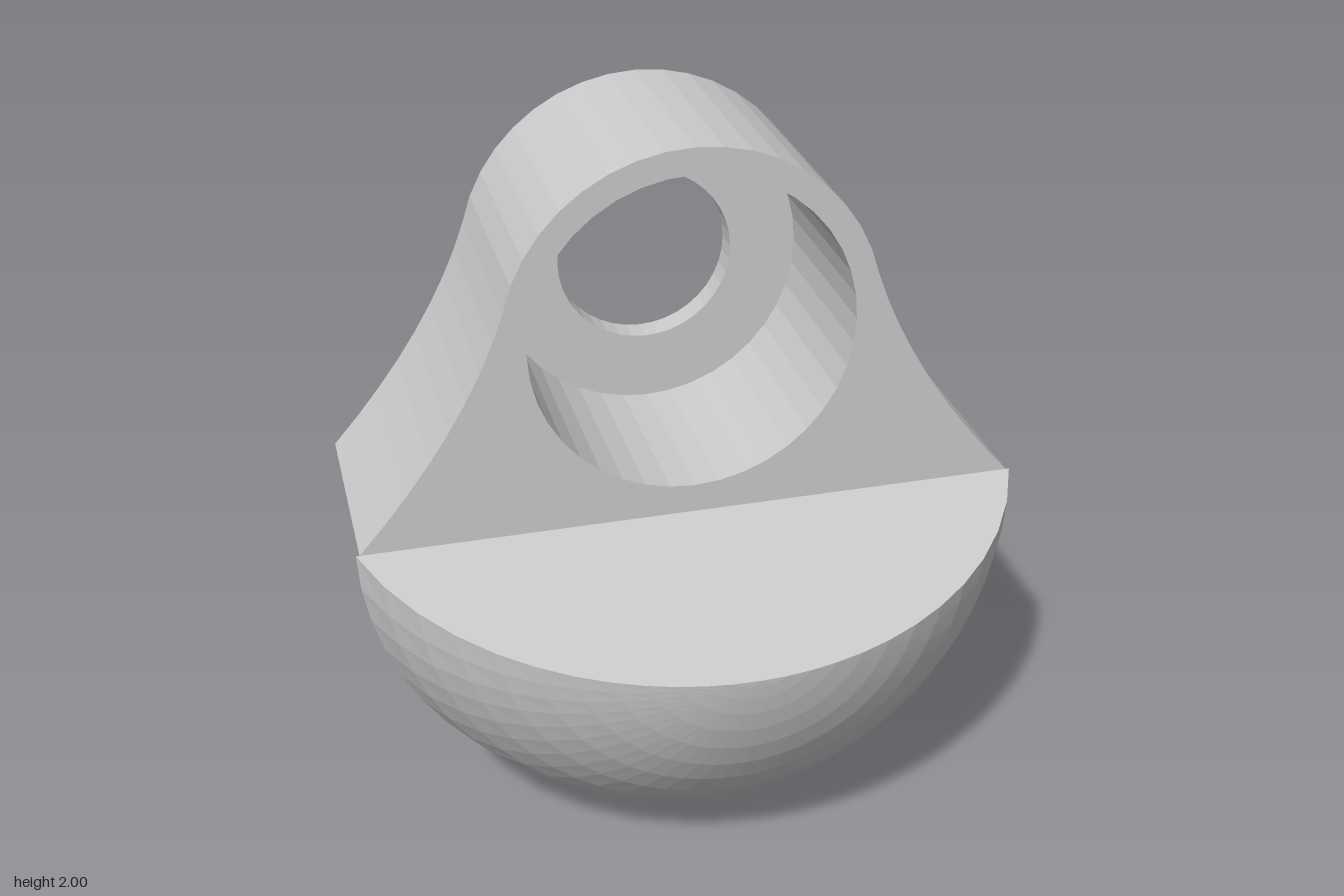
import * as THREE from 'three';

const V2 = (x, y) => new THREE.Vector2(x, y);
const BASE = 0.94;             // height of the bracket's underside
const CENTRE_Y = 1.475;        // axis of the bore
const BACK = -0.65, WALL = 0.08;
const SPHERE_Z = -0.34, SLOPE = 0.2;

const material = new THREE.MeshStandardMaterial({ color: 0xcccccc, flatShading: true });

// Surface through rows of points
function grid(rows, { closed = false, flip = false } = {}) {
  const n = rows[0].length, index = [];
  for (let i = 0; i < rows.length - 1; i++) {
    for (let j = 0; j < (closed ? n : n - 1); j++) {
      const k = (j + 1) % n;
      const a = i * n + j, b = i * n + k, c = b + n, d = a + n;
      if (flip) index.push(a, c, b, a, d, c);
      else index.push(a, b, c, a, c, d);
    }
  }
  const g = new THREE.BufferGeometry().setFromPoints(rows.flat());
  g.setIndex(index);
  g.computeVertexNormals();
  return g;
}

// Wall along z following a counter-clockwise contour
function wall(contour, z0, z1, flip = false) {
  const row = z => contour.map(p => new THREE.Vector3(p.x, p.y, z));
  return grid([row(z0), row(z1)], { closed: true, flip });
}

// Flat face with holes; the back-facing one relies on left-right symmetry
function face(contour, holes, z, backward = false) {
  const shape = new THREE.Shape(contour);
  shape.holes = holes.map(h => new THREE.Path(h));
  const g = new THREE.ShapeGeometry(shape);
  if (backward) g.rotateY(Math.PI);
  return g.translate(0, 0, z);
}

function arc(radius, from, to, n) {
  return Array.from({ length: n + 1 }, (_, i) => {
    const a = from + (to - from) * i / n;
    return V2(radius * Math.cos(a), CENTRE_Y + radius * Math.sin(a));
  });
}
const circle = radius => arc(radius, 0, 2 * Math.PI, 40).slice(0, -1);
const mirror = pts => pts.map(p => V2(-p.x, p.y)).reverse();

function add(group, name, geometry) {
  const mesh = new THREE.Mesh(geometry, material);
  mesh.name = name;
  group.add(mesh);
}

function createBracket() {
  const group = new THREE.Group();
  group.name = 'bracket';

  // Outline: flared flanks below a round top
  const top = 0.24;
  const flank = new THREE.QuadraticBezierCurve(
    V2(0.93, BASE), V2(0.62, 1.28), V2(0.525 * Math.cos(top), CENTRE_Y + 0.525 * Math.sin(top))).getPoints(8);
  const outline = [...flank, ...arc(0.525, top, Math.PI - top, 18).slice(1, -1), ...mirror(flank)];

  // Pockets behind the front plate, beside the bore
  const r = 0.53, low = 1.015, apex = -0.145;
  const side = new THREE.QuadraticBezierCurve(
    V2(0.775, low), V2(0.6, 1.225), V2(r * Math.cos(apex), CENTRE_Y + r * Math.sin(apex))).getPoints(5);
  const pocket = [...side, ...arc(r, apex, Math.asin((low - CENTRE_Y) / r), 8).slice(1)];
  const pockets = [pocket, mirror(pocket)];

  const bore = circle(0.4525), hole = circle(0.257);
  add(group, 'outerWall', wall(outline, BACK, 0));
  add(group, 'frontFace', face(outline, [bore], 0));
  add(group, 'backFace', face(outline, [hole, ...pockets], BACK, true));
  add(group, 'boreWall', wall(bore, BACK + WALL, 0, true));
  add(group, 'boreShoulder', face(bore, [hole], BACK + WALL));
  add(group, 'holeWall', wall(hole, BACK, BACK + WALL, true));
  for (const p of pockets) {
    add(group, 'pocketWall', wall(p, BACK, -WALL, true));
    // the rotated face of one pocket closes the other
    add(group, 'pocketFloor', face(p, [], -WALL, true));
  }
  return group;
}

// Part of a sphere cap below a sloping plane; drop lowers that plane
function capRows(R, drop) {
  const start = Math.atan(SLOPE) + Math.asin((drop + SLOPE * SPHERE_Z) / (R * Math.hypot(1, SLOPE)))
    , end = Math.acos(-SPHERE_Z / R), rows = [], steps = 12, segs = 28;
  for (let i = 0; i <= steps; i++) {
    const th = start + (end - start) * (i / steps) ** 1.6;
    const d = R * Math.sin(th), z = R * Math.cos(th) + SPHERE_Z;
    const phi0 = Math.asin(THREE.MathUtils.clamp((SLOPE * z + drop) / d, -1, 1));
    rows.push(Array.from({ length: segs + 1 }, (_, j) => {
      const phi = phi0 + (Math.PI - 2 * phi0) * j / segs;
      return new THREE.Vector3(d * Math.cos(phi), BASE - d * Math.sin(phi), z);
    }));
  }
  return rows;
}

function createBowl() {
  const group = new THREE.Group();
  group.name = 'bowl';
  // Radius from the rim radius at z = 0
  const outer = capRows(Math.hypot(0.94, SPHERE_Z), 0);
  const inner = capRows(Math.hypot(0.86, SPHERE_Z), 0.085);
  const lid = rows => rows.map(row => [row[0], row[row.length - 1]]);

  add(group, 'outerShell', grid(outer));
  add(group, 'slopingTop', grid(lid(outer), { flip: true }));
  add(group, 'innerShell', grid(inner, { flip: true }));
  add(group, 'innerCeiling', grid(lid(inner)));
  add(group, 'backRim', grid([outer.at(-1), inner.at(-1)], { closed: true }));
  return group;
}

export function createModel() {
  const model = new THREE.Group();
  model.name = 'wallHook';
  model.add(createBracket(), createBowl());
  return model;
}
